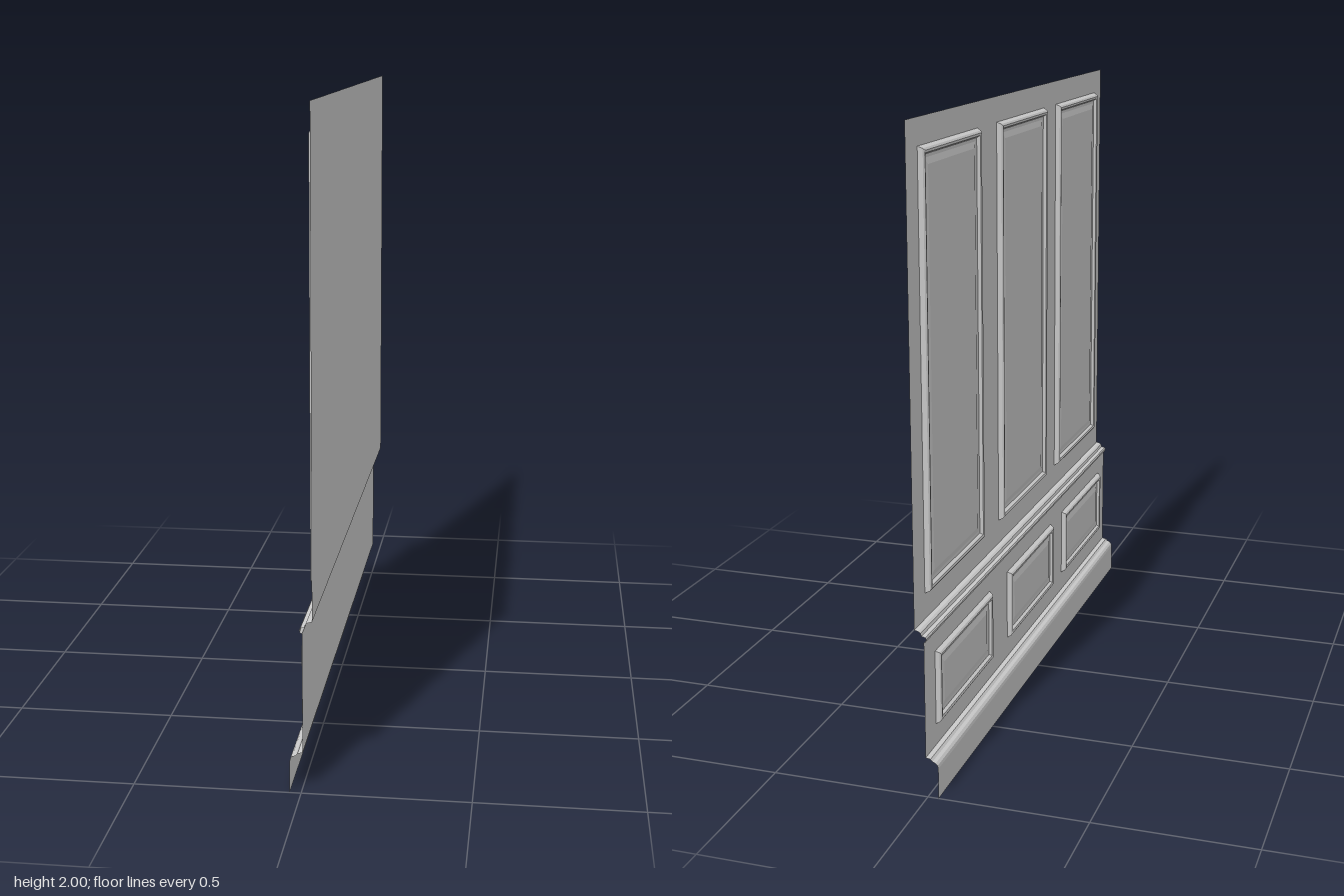
import * as THREE from 'three';

const material = new THREE.MeshStandardMaterial({ color: 0xcccccc, flatShading: true, side: THREE.DoubleSide });

// Joins successive cross-sections (arrays of points) with quads.
function loft(name, rings, closed, cap) {
  const n = rings[0].length, index = [];
  for (let i = 0; i < rings.length - 1; i++) {
    for (let j = 0; j < (closed ? n : n - 1); j++) {
      const a = i * n + j, b = i * n + (j + 1) % n;
      index.push(a, b, b + n, a, b + n, a + n);
    }
  }
  if (cap) {
    const s = (rings.length - 1) * n;
    index.push(s, s + 1, s + 2, s, s + 2, s + 3);
  }
  const geometry = new THREE.BufferGeometry();
  geometry.setAttribute('position', new THREE.Float32BufferAttribute(rings.flat(2), 3));
  geometry.setIndex(index);
  geometry.computeVertexNormals();
  const mesh = new THREE.Mesh(geometry, material);
  mesh.name = name;
  return mesh;
}

// A strip of wall running the full length, from an (x, y) profile listed top to bottom.
function wallStrip(name, profile) {
  const end = z => profile.map(([x, y]) => [x, y, z]);
  return loft(name, [end(-1), end(1)], false, false);
}

// Mitred moulding around a raised field, facing -x; profile is (inset, height share).
const moulding = [[0, 0], [0.006, 0.75], [0.012, 1], [0.02, 0.9], [0.026, 0.35], [0.036, 0.3], [0.055, 0.55]];
function framedPanel(name, x, depth, z0, z1, y0, y1) {
  const rings = moulding.map(([d, h]) => {
    const px = x - h * depth;
    return [[px, y0 + d, z0 + d], [px, y0 + d, z1 - d], [px, y1 - d, z1 - d], [px, y1 - d, z0 + d]];
  });
  return loft(name, rings, true, true);
}

export function createModel() {
  const model = new THREE.Group();
  model.name = 'panelledWall';
  const upperX = 0.034, lowerX = 0.005;

  // Wall sheet, stepping out at the chair rail and the baseboard
  model.add(wallStrip('upperWall', [[upperX, 2], [upperX, 0.53]]));
  model.add(wallStrip('chairRail', [
    [upperX, 0.53], [0.022, 0.527], [0.015, 0.522], [0.012, 0.513],
    [0, 0.51], [-0.003, 0.505], [-0.002, 0.498], [lowerX, 0.493]]));
  model.add(wallStrip('lowerWall', [[lowerX, 0.493], [lowerX, 0.127]]));
  model.add(wallStrip('baseboard', [
    [lowerX, 0.127], [-0.01, 0.124], [-0.016, 0.117], [-0.026, 0.113],
    [-0.032, 0.106], [-0.034, 0.096], [-0.034, 0]]));

  // Three tall panels above the rail and three short ones below
  for (const z of [-0.91, -0.23, 0.41]) {
    model.add(framedPanel('tallPanel', upperX, 0.018, z, z + 0.5, 0.61, 1.92));
    model.add(framedPanel('shortPanel', lowerX, 0.016, z, z + 0.5, 0.195, 0.43));
  }
  return model;
}
